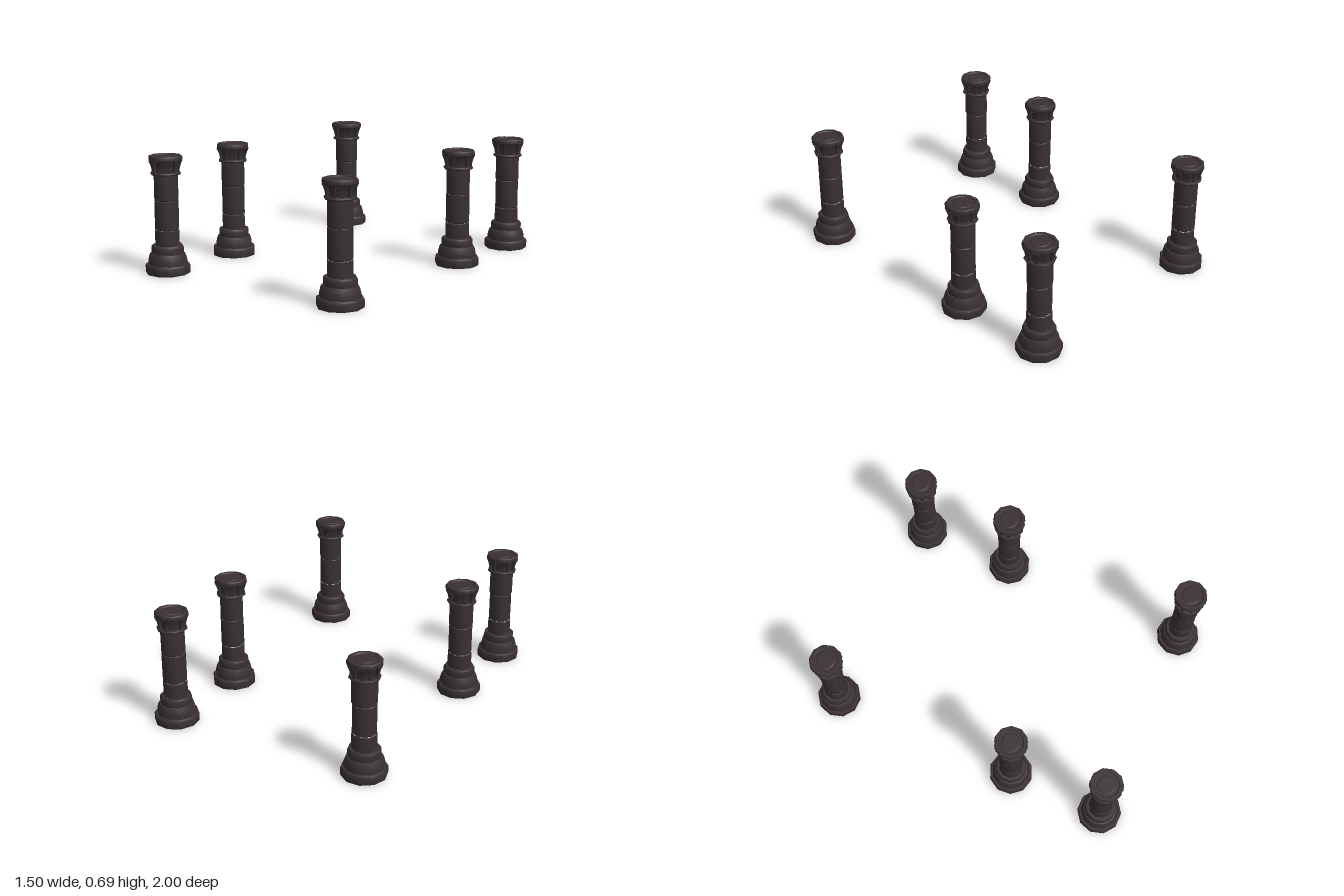
import * as THREE from 'three';
import { toCreasedNormals } from 'three/addons/utils/BufferGeometryUtils.js';

const SIDES = 10;

export function createModel() {
  const stone = new THREE.MeshStandardMaterial({ color: 0x3a3131 });
  stone.name = 'dark stone';

  // Turned part from [radius, height] pairs, listed bottom to top
  const turned = (profile, sides = SIDES) => toCreasedNormals(
    new THREE.LatheGeometry(profile.map(([r, y]) => new THREE.Vector2(r, y)), sides), 0.68);

  const geometries = {
    plinth: turned([[0, 0], [0.127, 0], [0.13, 0.008], [0.13, 0.046], [0.124, 0.056], [0, 0.056]]),
    baseStep: turned([[0.113, 0.054], [0.113, 0.075], [0.107, 0.102], [0.1, 0.118], [0.088, 0.12]]),
    baseCollar: turned([[0.09, 0.116], [0.093, 0.122], [0.093, 0.155], [0.087, 0.166], [0.06, 0.167]]),
    capitalRing: turned([[0.068, 0.573], [0.084, 0.576], [0.088, 0.583], [0.084, 0.591], [0.068, 0.593]]),
    capitalCore: turned([[0.068, 0.588], [0.07, 0.61], [0.075, 0.635], [0.085, 0.66]]),
    // Top slab with a shallow ring and a low central disc
    capitalSlab: turned([[0.07, 0.653], [0.091, 0.654], [0.097, 0.661], [0.097, 0.679],
      [0.092, 0.686], [0.076, 0.686], [0.071, 0.68], [0.055, 0.68], [0.05, 0.684], [0, 0.684]]),
  };

  // Drums of the shaft, each with softened joints
  const drums = [[0.163, 0.256, 0.0705, 0], [0.256, 0.428, 0.069, 0.12], [0.428, 0.578, 0.0705, -0.08]]
    .map(([y0, y1, r, turn]) => turned([[r - 0.004, y0], [r, y0 + 0.004], [r, y1 - 0.004], [r - 0.004, y1]])
      .rotateY(turn));

  // Capital rib that widens and curves outward toward the slab
  const rib = new THREE.BoxGeometry(1, 1, 1, 1, 4, 1);
  const p = rib.attributes.position;
  for (let i = 0; i < p.count; i++) {
    const t = p.getY(i) + 0.5;
    const width = 0.016 + 0.026 * t * t;
    const outer = 0.078 + 0.017 * t * t;
    p.setXYZ(i, p.getX(i) * width, 0.588 + 0.068 * t, p.getZ(i) > 0 ? outer : 0.064);
  }
  const ribGeometry = toCreasedNormals(rib, 0.6);

  function makeColumn() {
    const column = new THREE.Group();
    const add = (name, geometry) => {
      const mesh = new THREE.Mesh(geometry, stone);
      mesh.name = name;
      column.add(mesh);
      return mesh;
    };
    for (const [name, geometry] of Object.entries(geometries)) add(name, geometry);
    drums.forEach((geometry) => add('shaftDrum', geometry));
    for (let i = 0; i < SIDES; i++) {
      add('capitalRib', ribGeometry).rotation.y = (i / SIDES) * Math.PI * 2;
    }
    return column;
  }

  // Column places: x, z and turn in degrees
  const places = [
    [-0.62, -0.875, 18], [0.62, -0.875, 10], [0.62, -0.293, 3],
    [-0.62, 0.288, 5], [-0.62, 0.868, 18], [0.62, 0.868, 8],
  ];
  const model = new THREE.Group();
  model.name = 'columns';
  places.forEach(([x, z, turn]) => {
    const column = makeColumn();
    column.name = 'column';
    column.position.set(x, 0, z);
    column.rotation.y = THREE.MathUtils.degToRad(turn);
    model.add(column);
  });
  return model;
}
